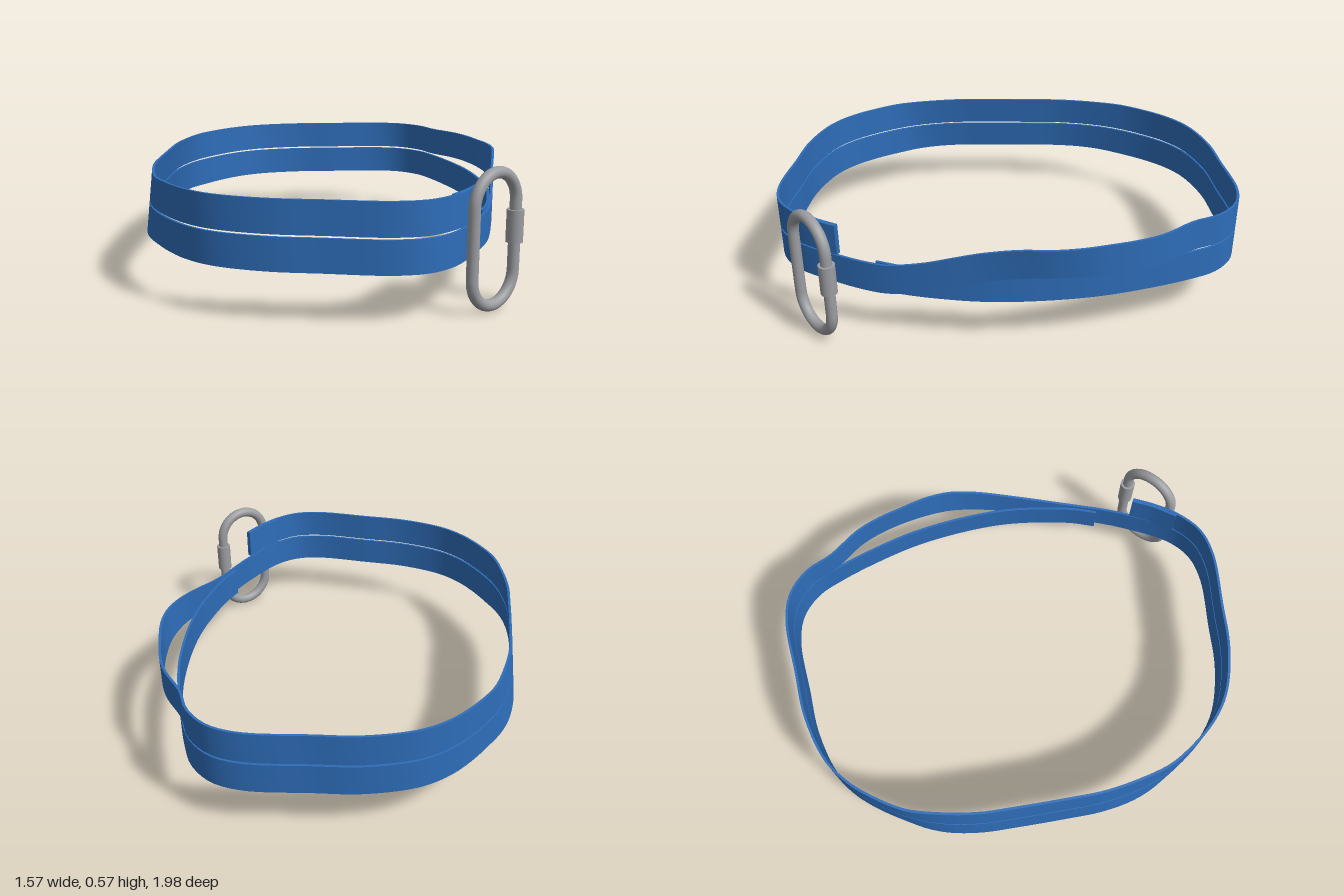
import * as THREE from 'three';

const UP = 0.413, LOW = 0.271, WIDTH = 0.133, THICK = 0.011;

// Flat webbing swept along a path: upright rectangular section with hard edges
function strapGeometry(points, samples) {
  const curve = new THREE.CatmullRomCurve3(points);
  const pos = [], index = [];
  const smooth = THREE.MathUtils.smoothstep;
  const corners = [[1, -1], [1, 1], [-1, 1], [-1, -1]];
  for (let i = 0; i <= samples; i++) {
    const p = curve.getPointAt(i / samples), t = curve.getTangentAt(i / samples);
    const n = new THREE.Vector3(-t.z, 0, t.x).normalize();
    const lean = 0.12 * (smooth(-p.x, 0.66, 0.75) + smooth(p.x, 0.73, 0.77));
    const ring = corners.map(([a, b]) => {
      const y = p.y + b * WIDTH / 2;
      return [p.x + n.x * a * THICK / 2 + lean * (y - 0.34), y, p.z + n.z * a * THICK / 2];
    });
    // Each side owns its two edge vertices so edges stay crisp
    for (let s = 0; s < 4; s++) pos.push(...ring[s], ...ring[(s + 1) % 4]);
  }
  for (let i = 0; i < samples; i++) {
    for (let s = 0; s < 4; s++) {
      const a = i * 8 + s * 2, b = a + 1, c = a + 8, d = a + 9;
      index.push(a, b, c, b, d, c);
    }
  }
  // End caps on their own vertices
  for (const [row, flip] of [[0, true], [samples, false]]) {
    const base = pos.length / 3;
    for (let s = 0; s < 4; s++) {
      const k = (row * 8 + s * 2) * 3;
      pos.push(pos[k], pos[k + 1], pos[k + 2]);
    }
    const f = flip ? [0, 2, 1, 0, 3, 2] : [0, 1, 2, 0, 2, 3];
    index.push(...f.map(v => base + v));
  }
  const g = new THREE.BufferGeometry();
  g.setAttribute('position', new THREE.Float32BufferAttribute(pos, 3));
  g.setIndex(index);
  g.computeVertexNormals();
  return g;
}

export function createModel() {
  const model = new THREE.Group();
  model.name = 'slingWithLink';
  const blue = new THREE.MeshStandardMaterial({ name: 'blueWebbing', color: 0x2e6db9, side: THREE.DoubleSide });
  const grey = new THREE.MeshStandardMaterial({ name: 'greyMetal', color: 0x9c9da1 });
  const add = (name, geo, mat, parent = model) => {
    const m = new THREE.Mesh(geo, mat);
    m.name = name;
    parent.add(m);
    return m;
  };

  // Front half of the loop, mirrored in z for the back half
  const half = [[0.49, 0.87], [0.39, 0.955], [0.26, 0.985], [0, 0.965], [-0.2, 0.945], [-0.4, 0.882],
    [-0.51, 0.805], [-0.6, 0.7], [-0.69, 0.55], [-0.735, 0.42], [-0.76, 0.27], [-0.764, 0.12]];
  const loop = [...half, ...half.slice().reverse().map(([x, z]) => [x, -z])];
  const at = (list, y) => list.map(([x, z]) => new THREE.Vector3(x, y, z));

  // Upper turn, crossover down the outside, lower turn, tail tucked inside
  const crossover = [[0.55, -0.755, UP], [0.66, -0.61, UP], [0.73, -0.43, UP], [0.765, -0.2, UP],
    [0.757, -0.06, 0.405], [0.742, 0.08, 0.377], [0.726, 0.2, 0.343], [0.705, 0.33, 0.304],
    [0.675, 0.47, 0.275], [0.65, 0.55, LOW], [0.595, 0.68, LOW]];
  const path = [
    ...at([[0.6, 0.685], [0.555, 0.775]], UP), ...at(loop, UP),
    ...crossover.map(([x, z, y]) => new THREE.Vector3(x, y, z)),
    ...at(loop, LOW),
    ...at([[0.55, -0.755], [0.62, -0.57], [0.68, -0.36], [0.715, -0.12], [0.722, 0.08],
      [0.705, 0.25], [0.672, 0.42], [0.636, 0.525]], LOW),
  ];
  add('strap', strapGeometry(path, 320), blue);

  // Folded-back end of the upper turn
  add('foldedEnd', strapGeometry(at([[0.592, 0.68], [0.546, 0.77], [0.48, 0.865]], UP), 12), blue);

  // Oval metal link
  const link = new THREE.Group();
  link.name = 'ovalLink';
  link.position.set(0.651, 0.285, 0.783);
  link.rotation.y = 0.736;
  model.add(link);
  const R = 0.122, H = 0.138, TUBE = 0.0235;
  const oval = new THREE.CurvePath();
  const corner = (a0, cy) => {
    const pts = [];
    for (let i = 0; i <= 16; i++) {
      const a = a0 + Math.PI * i / 16;
      pts.push(new THREE.Vector3(R * Math.cos(a), cy + R * Math.sin(a), 0));
    }
    return new THREE.CatmullRomCurve3(pts);
  };
  oval.add(new THREE.LineCurve3(new THREE.Vector3(R, -H, 0), new THREE.Vector3(R, H, 0)));
  oval.add(corner(0, H));
  oval.add(new THREE.LineCurve3(new THREE.Vector3(-R, H, 0), new THREE.Vector3(-R, -H, 0)));
  oval.add(corner(Math.PI, -H));
  add('linkBody', new THREE.TubeGeometry(oval, 120, TUBE, 20, true), grey, link);

  // Threaded locking sleeve
  const sleeve = add('lockingSleeve', new THREE.CylinderGeometry(0.034, 0.034, 0.13, 24), grey, link);
  sleeve.position.set(R, 0.035, 0);
  return model;
}
